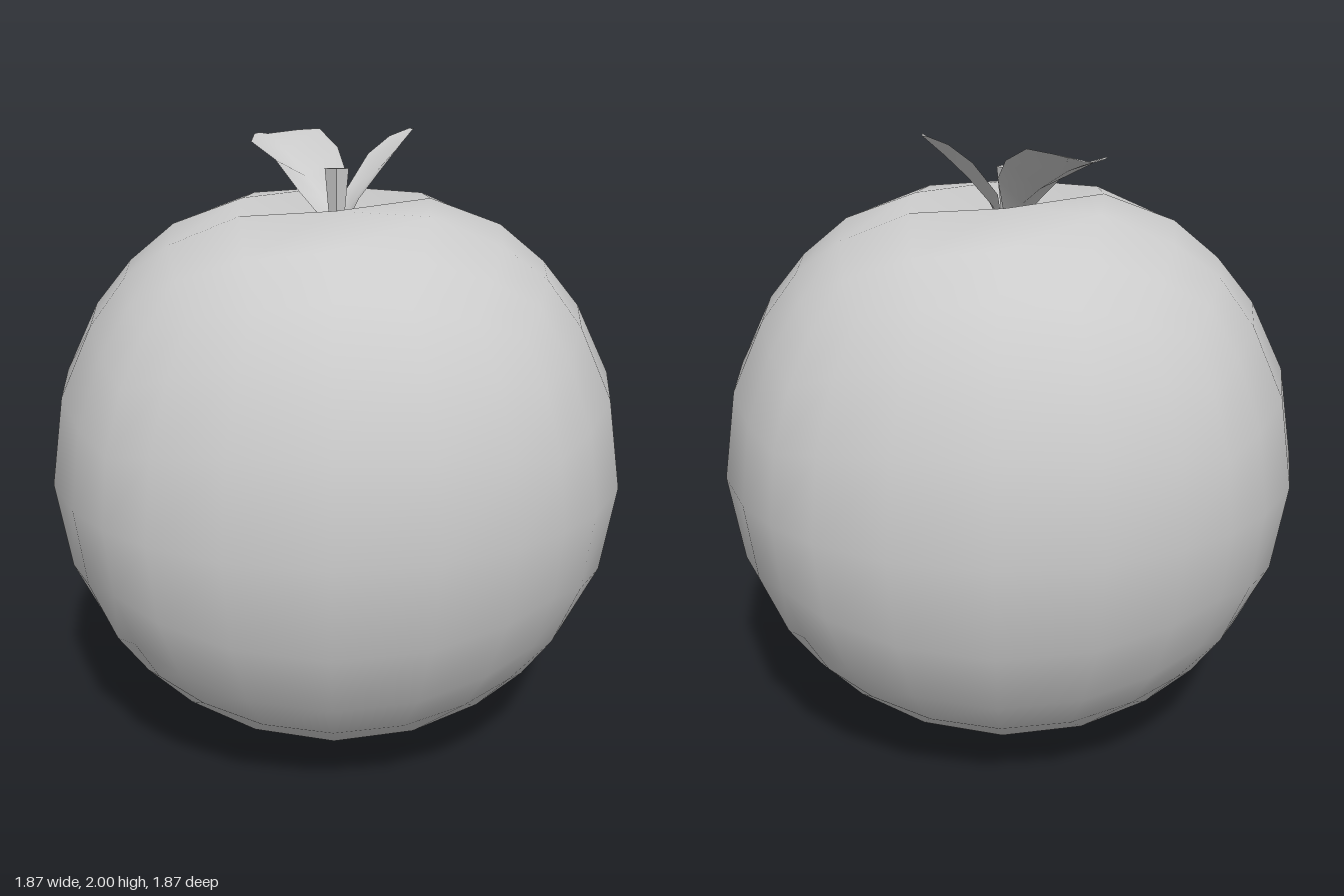
import * as THREE from 'three';
import { mergeVertices } from 'three/addons/utils/BufferGeometryUtils.js';

const RADIUS = 0.935;
const CENTRE_Y = 0.938;

// Fruit: a subdivided cube blown up to a sphere, with a dimple pressed into the top
function fruitGeometry() {
  const box = new THREE.BoxGeometry(2, 2, 2, 6, 6, 6);
  box.deleteAttribute('normal');
  box.deleteAttribute('uv');
  const geometry = mergeVertices(box);
  const position = geometry.attributes.position;
  const v = new THREE.Vector3();
  for (let i = 0; i < position.count; i++) {
    v.fromBufferAttribute(position, i).setLength(RADIUS);
    const reach = Math.hypot(v.x, v.z) / 0.45;
    if (v.y > 0 && reach < 1) v.y -= 0.155 * (1 - reach) ** 1.6;
    position.setXYZ(i, v.x, v.y, v.z);
  }
  geometry.computeVertexNormals();
  return geometry;
}

// Leaf: rows of [edge, midrib, edge] points from base to tip, joined into a cupped strip
function leafGeometry(rows) {
  const width = rows[0].length;
  const index = [];
  for (let r = 0; r < rows.length - 1; r++) {
    for (let c = 0; c < width - 1; c++) {
      const a = r * width + c;
      const b = a + width;
      index.push(a, a + 1, b, a + 1, b + 1, b);
    }
  }
  const geometry = new THREE.BufferGeometry();
  geometry.setAttribute('position', new THREE.Float32BufferAttribute(rows.flat(2), 3));
  geometry.setIndex(index);
  geometry.computeVertexNormals();
  return geometry;
}

export function createModel() {
  const model = new THREE.Group();
  model.name = 'fruit';
  const skin = new THREE.MeshStandardMaterial({ color: 0xcccccc });
  const wood = new THREE.MeshStandardMaterial({ color: 0xcccccc, flatShading: true });
  const foliage = new THREE.MeshStandardMaterial({ color: 0xcccccc, side: THREE.DoubleSide });

  const add = (name, geometry, material) => {
    const mesh = new THREE.Mesh(geometry, material);
    mesh.name = name;
    model.add(mesh);
    return mesh;
  };

  add('body', fruitGeometry(), skin).position.y = CENTRE_Y;

  // Four-sided stem, wider at the top and leaning slightly back
  const stem = add('stem', new THREE.CylinderGeometry(0.038, 0.022, 0.18, 4), wood);
  stem.position.set(0, 1.795, -0.03);
  stem.rotation.x = -0.08;

  add('largeLeaf', leafGeometry([
    [[-0.03, 1.71, -0.02], [-0.01, 1.71, -0.03], [0.01, 1.71, -0.05]],
    [[-0.12, 1.81, -0.05], [-0.045, 1.78, -0.1], [0.03, 1.86, -0.13]],
    [[-0.2, 1.9, -0.14], [-0.1, 1.84, -0.2], [0, 1.93, -0.26]],
    [[-0.29, 1.945, -0.29], [-0.18, 1.91, -0.34], [-0.065, 1.98, -0.4]],
    [[-0.29, 1.96, -0.43], [-0.22, 1.94, -0.45], [-0.14, 1.972, -0.45]],
    [[-0.275, 1.96, -0.485], [-0.25, 1.955, -0.497], [-0.22, 1.957, -0.495]],
  ]), foliage);

  add('smallLeaf', leafGeometry([
    [[0.03, 1.71, -0.03], [0.02, 1.71, -0.04], [0.02, 1.71, -0.06]],
    [[0.07, 1.79, -0.03], [0.05, 1.77, -0.075], [0.03, 1.81, -0.12]],
    [[0.14, 1.88, -0.045], [0.12, 1.86, -0.12], [0.1, 1.915, -0.2]],
    [[0.2, 1.95, -0.1], [0.185, 1.93, -0.16], [0.17, 1.97, -0.22]],
    [[0.25, 2, -0.19], [0.247, 1.993, -0.21], [0.235, 1.995, -0.222]],
  ]), foliage);

  return model;
}
